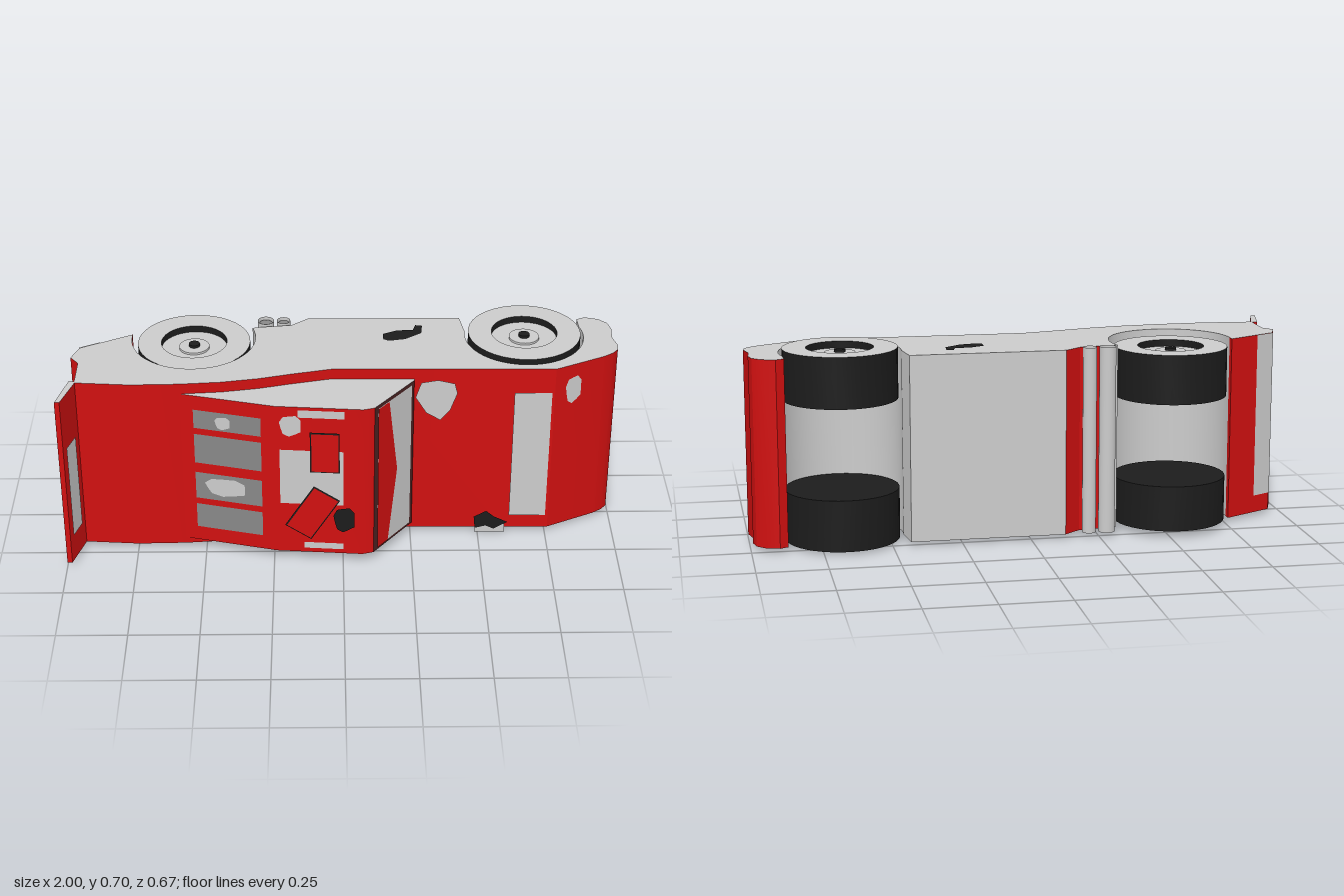
import * as THREE from 'three';
import { toCreasedNormals } from 'three/addons/utils/BufferGeometryUtils.js';

const RED = 0xd01010, GREY = 0xcccccc, BLACK = 0x1c1c1c, DARK = 0x888888;
const Y0 = 0.015, Y1 = 0.69; // the car lies on its side, its width runs along y

const mat = (color) => new THREE.MeshStandardMaterial({ color, side: THREE.DoubleSide });

function arc(cx, cz, r, a0, a1, n = 28) {
  return Array.from({ length: n + 1 }, (_, i) => {
    const a = a0 + (a1 - a0) * i / n;
    return [cx + r * Math.cos(a), cz + r * Math.sin(a)];
  });
}

// upper silhouette, used to lay markings on the surface
const silhouette = [[-0.95, 0.2], [-0.575, 0.212], [-0.24, 0.3], [0.07, 0.327], [0.11, 0.315],
  [0.255, 0.125], [0.76, 0.12], [0.94, 0.03], [1, -0.05]];
function topZ(x) {
  let i = 1;
  while (i < silhouette.length - 1 && silhouette[i][0] < x) i++;
  const [a, b] = [silhouette[i - 1], silhouette[i]];
  return a[1] + (b[1] - a[1]) * (x - a[0]) / (b[0] - a[0]);
}

export function createModel() {
  const model = new THREE.Group();
  const add = (name, geo, color, parent = model) => {
    const mesh = new THREE.Mesh(geo, mat(color));
    mesh.name = name;
    parent.add(mesh);
    return mesh;
  };

  // ribbon following an (x, z) path across the width
  function strip(name, pts, color, y0 = Y0, y1 = Y1) {
    const v = [];
    for (let i = 0; i < pts.length - 1; i++) {
      const [ax, az] = pts[i], [bx, bz] = pts[i + 1];
      v.push(ax, y0, az, bx, y1, bz, bx, y0, bz, ax, y0, az, ax, y1, az, bx, y1, bz);
    }
    const g = new THREE.BufferGeometry();
    g.setAttribute('position', new THREE.Float32BufferAttribute(v, 3));
    g.computeVertexNormals();
    return add(name, toCreasedNormals(g, 0.55), color);
  }

  // flat (x, z) plate facing along y
  function side(name, pts, y, color = GREY) {
    const g = new THREE.ShapeGeometry(new THREE.Shape(pts.map((p) => new THREE.Vector2(...p))));
    g.rotateX(Math.PI / 2).translate(0, y, 0);
    if (y > 0.3) {
      g.index.array.reverse();
      g.computeVertexNormals();
    }
    add(name, g, color);
  }
  const sides = (name, pts, y0 = Y0, y1 = Y1) => {
    side(name + 'Right', pts, y0);
    side(name + 'Left', pts, y1);
  };

  // thin marking given in (x, y), draped on the upper surface
  function decal(name, pts, color = GREY, lift = 0.004) {
    const g = new THREE.ShapeGeometry(new THREE.Shape(pts.map((p) => new THREE.Vector2(...p))));
    const p = g.attributes.position;
    for (let i = 0; i < p.count; i++) p.setZ(i, topZ(p.getX(i)) + lift);
    g.computeVertexNormals();
    add(name, g, color);
  }
  const rect = (x0, x1, y0, y1) => [[x0, y0], [x1, y0], [x1, y1], [x0, y1]];
  const turned = (cx, cy, w, h, a) => rect(-w / 2, w / 2, -h / 2, h / 2).map(([x, y]) =>
    [cx + x * Math.cos(a) - y * Math.sin(a), cy + x * Math.sin(a) + y * Math.cos(a)]);
  const blob = (cx, cy, rx, ry) => arc(0, 0, 1, 0, Math.PI * 2, 11).slice(0, -1).map(([c, s], i) => {
    const k = i % 3 ? 1 : 0.86;
    return [cx + rx * c * k, cy + ry * s * k];
  });

  // body outline
  const floor = [...arc(-0.54, -0.12, 0.225, Math.PI, -0.34), [-0.31, -0.2]];
  const pipeRecess = [[-0.31, -0.2], [-0.185, -0.215], [-0.125, -0.265]];
  const belly = [[-0.125, -0.265], [0.435, -0.265], [0.45, -0.16],
    ...arc(0.665, -0.13, 0.217, Math.PI + 0.14, -0.3), [0.87, -0.25]];
  const nose = [[0.87, -0.25], [0.9, -0.265], [0.95, -0.25], [0.98, -0.22], [0.99, -0.175],
    [0.985, -0.11], [1, -0.05], [0.995, -0.02], [0.975, 0.005], [0.94, 0.03], [0.76, 0.12]];
  const deck = [[0.76, 0.12], [-0.04, 0.112], [-0.18, 0.145], [-0.3, 0.177], [-0.43, 0.2],
    [-0.575, 0.212], [-0.75, 0.216], [-0.945, 0.2]];
  const tail = [[-0.945, 0.2], [-0.945, 0.06], [-0.975, 0.02], [-0.95, -0.05], [-0.765, -0.15],
    [-0.765, -0.12]];
  sides('bodySide', [floor, pipeRecess, belly, nose, deck, tail].flatMap((s) => s.slice(0, -1)));
  strip('rearWheelArch', floor, GREY);
  strip('pipeRecess', pipeRecess, RED);
  strip('underside', belly, GREY);
  strip('nose', nose, RED);
  strip('deck', deck, RED);
  strip('tail', tail, RED);

  // cabin
  const roof = [[0.255, 0.125], [0.11, 0.315], [0.07, 0.327], [-0.24, 0.3], [-0.575, 0.212]];
  sides('cabinSide', [...roof, [-0.3, 0.17], [-0.04, 0.105], [0.255, 0.105]], 0.04, 0.65);
  strip('windscreenFrame', roof.slice(0, 2), 0x4a2222, 0.04, 0.65);
  strip('roof', roof.slice(1), RED, 0.04, 0.65);
  decal('windscreen', rect(0.124, 0.246, 0.052, 0.638));
  decal('sunBand', [[0.124, 0.052], [0.163, 0.052], [0.195, 0.335], [0.163, 0.638], [0.124, 0.638]], RED, 0.008);

  // rear spoiler
  const wing = [[-0.965, 0.19], [-0.94, 0.19], [-0.982, 0.335], [-1, 0.335]];
  sides('spoilerSide', wing);
  strip('spoiler', [...wing, wing[0]], RED);
  strip('spoilerPanel', [[-0.949, 0.235], [-0.972, 0.314]], GREY, 0.12, 0.49);

  // rear markings
  for (const y of [0.07, 0.25, 0.42, 0.63]) {
    strip('rearBar', [[-0.999, 0.32], [-0.971, 0.205]], GREY, y, y + 0.02);
  }
  for (const y of [0.13, 0.5]) strip('rearLamp', [[-0.998, 0.31], [-0.976, 0.225]], GREY, y, y + 0.09);
  strip('valancePatch', [[-0.952, -0.053], [-0.88, -0.092]], GREY, 0.08, Y1);

  // rear louvres
  for (const [a, b] of [[0.1, 0.2], [0.225, 0.335], [0.375, 0.495], [0.52, 0.595]]) {
    decal('louvre', rect(-0.53, -0.29, a, b), DARK);
  }
  decal('louvrePatch', blob(-0.42, 0.285, 0.08, 0.04), GREY, 0.007);
  decal('louvrePatch', blob(-0.425, 0.555, 0.03, 0.028), GREY, 0.007);

  // roof markings
  decal('roofPanel', rect(-0.225, 0, 0.25, 0.475));
  decal('roofPatch', blob(-0.185, 0.575, 0.042, 0.045));
  decal('roofBar', rect(-0.14, 0, 0.06, 0.085));
  decal('roofBar', rect(-0.16, 0.005, 0.61, 0.64));
  for (const [x, y, w, h, a] of [[-0.11, 0.215, 0.1, 0.19, -0.55], [-0.065, 0.47, 0.095, 0.155, 0]]) {
    decal('hatchEdge', turned(x, y, w + 0.01, h + 0.01, a), BLACK, 0.007);
    decal('hatch', turned(x, y, w, h, a), RED, 0.01);
  }
  decal('roofSpot', blob(0.005, 0.19, 0.042, 0.055), BLACK, 0.006);

  // bonnet markings
  decal('bonnetPanel', rect(0.615, 0.75, 0.07, 0.595));
  decal('bonnetPatch', [[0.26, 0.585], [0.3, 0.52], [0.35, 0.49], [0.385, 0.53], [0.41, 0.6],
    [0.4, 0.64], [0.34, 0.655], [0.28, 0.645]], GREY, 0.01);
  decal('bonnetCorner', rect(0.49, 0.6, 0, 0.04), GREY, 0.008);
  decal('bonnetSpot', [[0.49, 0.02], [0.53, 0.03], [0.56, 0.015], [0.61, 0.045], [0.56, 0.07],
    [0.53, 0.095], [0.485, 0.07]], BLACK, 0.011);
  decal('headlamp', blob(0.83, 0.59, 0.032, 0.058));

  // dark spot on each flank
  const spot = [[0.15, -0.1], [0.15, -0.14], [0.2, -0.165], [0.26, -0.17], [0.27, -0.205],
    [0.295, -0.2], [0.29, -0.145], [0.23, -0.1], [0.17, -0.088]];
  side('flankSpot', spot, Y0 - 0.003, BLACK);
  side('flankSpot', spot, Y1 + 0.003, BLACK);

  // exhaust pipes
  for (const [x, r] of [[-0.28, 0.03], [-0.215, 0.025]]) {
    const pipe = add('exhaustPipe', new THREE.CylinderGeometry(r, r, 0.68, 20, 1, true), GREY);
    pipe.position.set(x, 0.355, -0.243);
    const bore = add('exhaustBore', new THREE.CylinderGeometry(r * 0.8, r * 0.8, 0.68, 20), DARK);
    bore.position.set(x, 0.355, -0.243);
    bore.scale.y = 0.97;
  }

  // wheels, spun about y with the outer face away from the middle
  function wheel(name, x, inner, w, dir) {
    const g = new THREE.Group();
    g.name = name;
    const R = 0.205, d = w - 0.025;
    const lathe = (part, pts, color) => add(part, toCreasedNormals(
      new THREE.LatheGeometry(pts.map((p) => new THREE.Vector2(...p)), 40), 0.6), color, g);
    lathe('tyre', [[0, 0], [R, 0], [R, w]], BLACK);
    lathe('tyreFace', [[R, w], [0.12, w]], GREY);
    lathe('rimWall', [[0.12, w], [0.12, d]], BLACK);
    lathe('rimDish', [[0.12, d], [0.055, d], [0.055, d + 0.008], [0, d + 0.008]], GREY);
    lathe('wheelNut', [[0.02, d], [0.02, d + 0.018], [0, d + 0.018]], BLACK);
    g.position.set(x, inner, -0.13);
    g.scale.y = dir;
    model.add(g);
  }
  wheel('frontWheelLeft', 0.665, 0.52, 0.184, 1);
  wheel('frontWheelRight', 0.665, 0.195, 0.185, -1);
  wheel('rearWheelLeft', -0.54, 0.49, 0.18, 1);
  wheel('rearWheelRight', -0.54, 0.19, 0.165, -1);

  return model;
}
